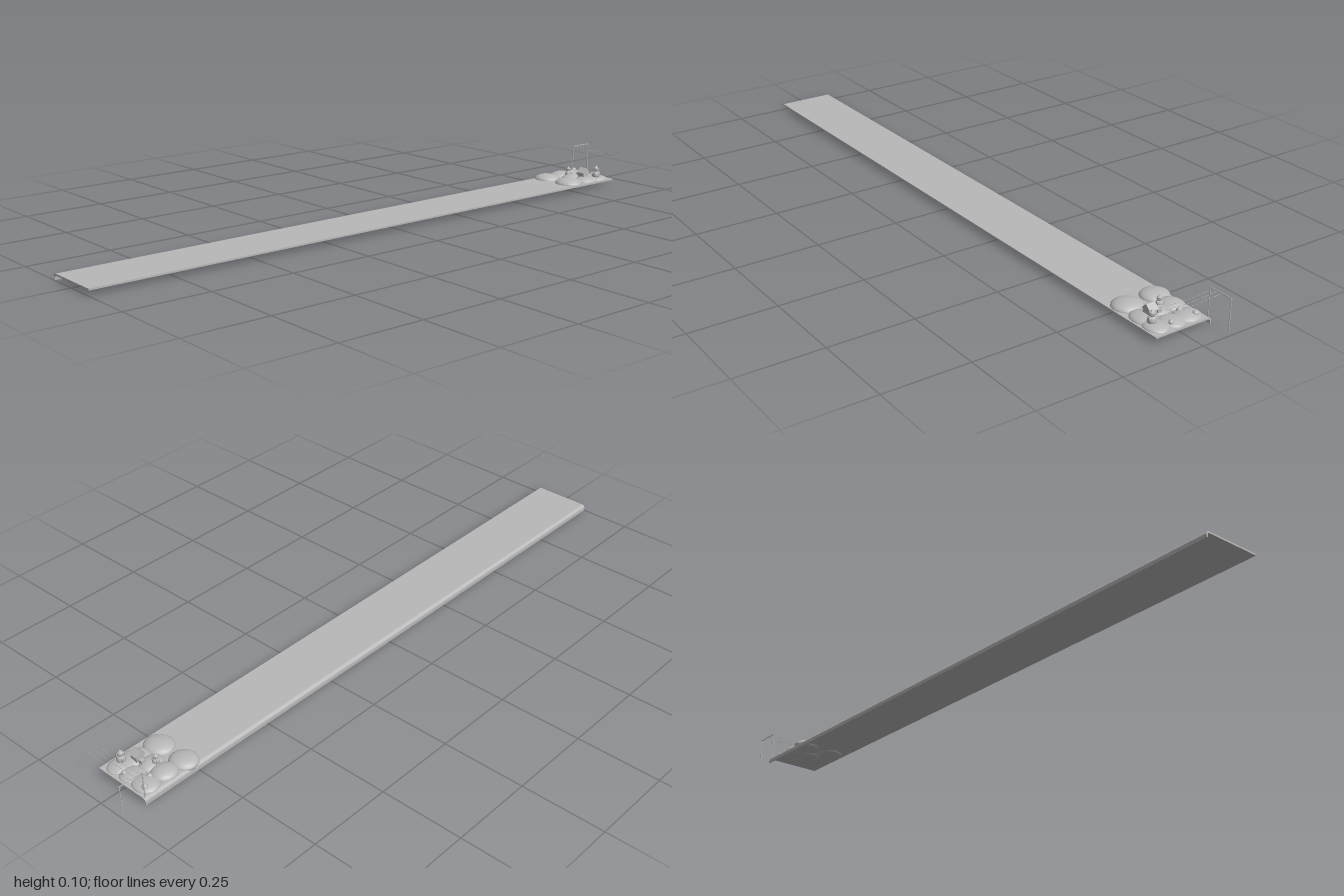
import * as THREE from 'three';

export function createModel() {
  const root = new THREE.Group();
  const grey = new THREE.MeshStandardMaterial({ color: 0xb8b8b8, side: THREE.DoubleSide });
  grey.name = 'plainGrey';

  function add(name, geometry, x = 0, y = 0, z = 0, parent = root) {
    const mesh = new THREE.Mesh(geometry, grey);
    mesh.name = name;
    mesh.position.set(x, y, z);
    parent.add(mesh);
    return mesh;
  }

  // Long thin deck with a rounded lip turned down along the back edge
  const profile = new THREE.Shape();
  profile.moveTo(-0.09, 0.014);
  profile.lineTo(-0.09, 0.019);
  profile.lineTo(0.08, 0.019);
  profile.quadraticCurveTo(0.089, 0.018, 0.09, 0.010);
  profile.lineTo(0.09, 0.0);
  profile.lineTo(0.087, 0.0);
  profile.lineTo(0.086, 0.009);
  profile.quadraticCurveTo(0.085, 0.014, 0.078, 0.014);
  profile.closePath();
  const deck = new THREE.ExtrudeGeometry(profile, { depth: 1.93, bevelEnabled: false, curveSegments: 6 });
  deck.rotateY(Math.PI / 2);
  add('deck', deck, -1, 0, 0);

  // Flattened mounds that poke through the deck: x, z, radius x, radius z, height
  const mounds = [
    [0.765, -0.05, 0.040, 0.042, 0.017], [0.768, 0.042, 0.042, 0.045, 0.018],
    [0.83, -0.048, 0.040, 0.036, 0.018], [0.83, 0.0, 0.038, 0.032, 0.016],
    [0.84, 0.05, 0.042, 0.036, 0.014], [0.89, -0.045, 0.036, 0.040, 0.013],
    [0.89, 0.005, 0.036, 0.034, 0.011], [0.888, 0.055, 0.038, 0.032, 0.012],
  ];
  for (const [x, z, rx, rz, h] of mounds) {
    const dome = add('mound', new THREE.SphereGeometry(1, 20, 12), x, 0.018, z);
    dome.scale.set(rx, h, rz);
  }

  // Small bundled figures with pointed caps
  function figure(x, y, z, s) {
    const g = new THREE.Group();
    g.name = 'figure';
    g.position.set(x, y, z);
    g.scale.setScalar(s);
    const body = [[0, 0], [0.010, 0], [0.0125, 0.006], [0.011, 0.014], [0.008, 0.020], [0, 0.022]];
    add('body', new THREE.LatheGeometry(body.map(p => new THREE.Vector2(...p)), 14), 0, 0, 0, g);
    add('head', new THREE.SphereGeometry(0.0085, 14, 10), 0, 0.025, 0, g);
    add('capBrim', new THREE.TorusGeometry(0.007, 0.002, 6, 14).rotateX(Math.PI / 2), 0, 0.029, 0, g);
    add('cap', new THREE.ConeGeometry(0.007, 0.010, 14), 0, 0.034, 0, g);
    for (const side of [-1, 1]) {
      const arm = add('arm', new THREE.SphereGeometry(1, 10, 8), 0.003, 0.013, side * 0.010, g);
      arm.scale.set(0.004, 0.007, 0.0035);
    }
    root.add(g);
  }
  figure(0.88, 0.026, 0.060, 1.02);
  figure(0.825, 0.026, -0.012, 0.85);

  // Little pitched-roof hut
  const hut = new THREE.Group();
  hut.name = 'hut';
  hut.position.set(0.845, 0.024, 0.036);
  add('hutWalls', new THREE.BoxGeometry(0.026, 0.022, 0.024), 0, 0.011, 0, hut);
  const gable = new THREE.Shape([
    new THREE.Vector2(-0.016, 0.020), new THREE.Vector2(0.016, 0.020), new THREE.Vector2(0, 0.035),
  ]);
  add('hutRoof', new THREE.ExtrudeGeometry(gable, { depth: 0.028, bevelEnabled: false }), 0, 0, -0.014, hut);
  root.add(hut);
  add('crate', new THREE.BoxGeometry(0.012, 0.010, 0.012), 0.85, 0.034, 0.013);
  for (const [x, z, r] of [[0.905, -0.06, 0.009], [0.87, -0.038, 0.008], [0.905, 0.02, 0.007]]) {
    add('stone', new THREE.SphereGeometry(r, 12, 8), x, 0.027, z);
  }

  // Slim posts joined by a rail at the back corner
  for (const x of [0.925, 0.998]) {
    add('post', new THREE.CylinderGeometry(0.0014, 0.0014, 0.088, 8), x, 0.058, -0.083);
  }
  add('rail', new THREE.BoxGeometry(0.075, 0.002, 0.002), 0.9625, 0.102, -0.083);

  // Sagging dashed strings
  const dashes = 12;
  const sag = z => 0.093 + 0.006 * (z / 0.09) ** 2;
  for (const x of [0.93, 0.945, 0.96]) {
    for (let i = 0; i < dashes; i++) {
      const z0 = -0.088 + i * 0.176 / dashes;
      const z1 = z0 + 0.010;
      const line = new THREE.LineCurve3(
        new THREE.Vector3(x, sag(z0), z0), new THREE.Vector3(x, sag(z1), z1));
      add('stringDash', new THREE.TubeGeometry(line, 1, 0.0006, 5));
    }
  }
  return root;
}
